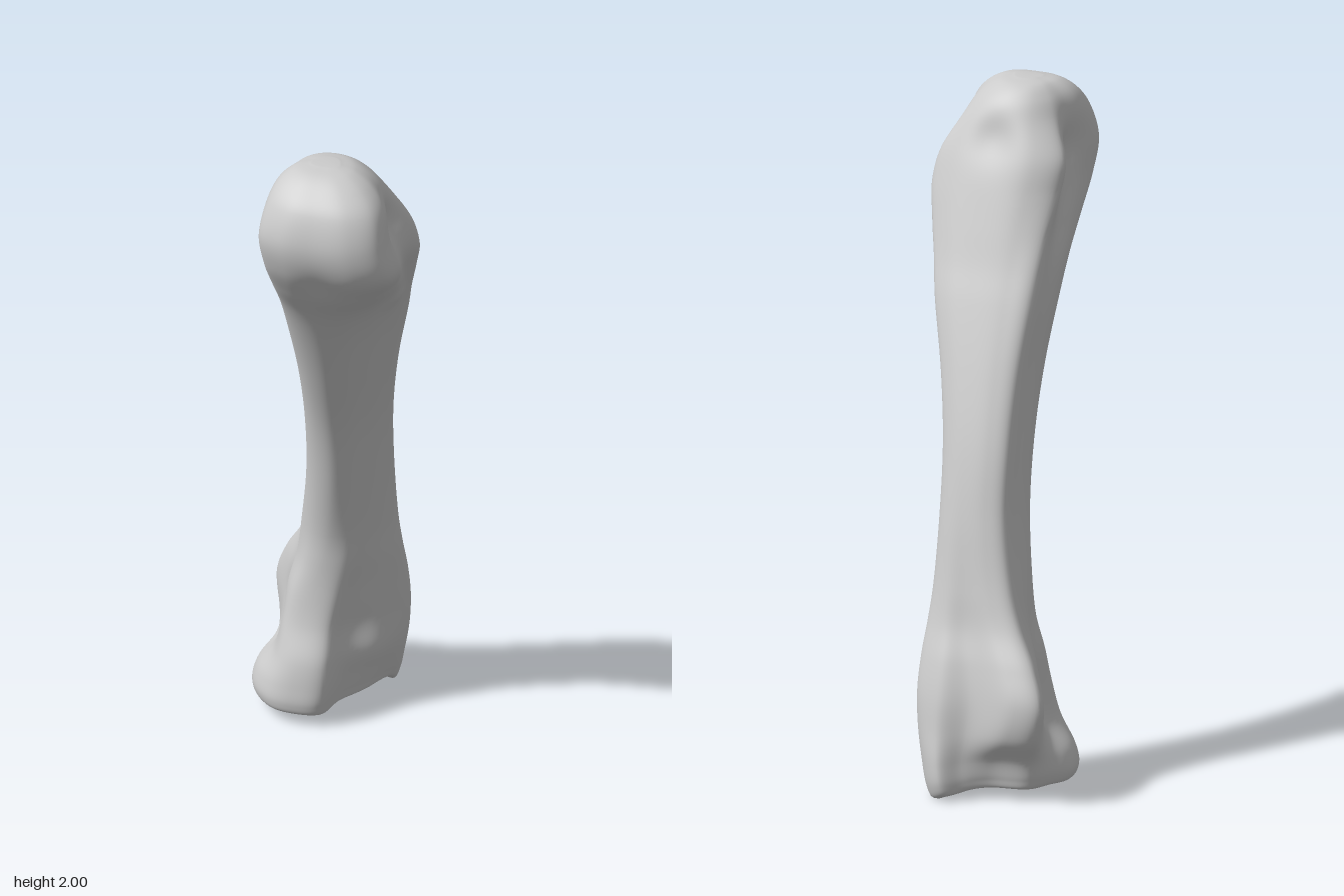
import * as THREE from 'three';

// Outline templates in a -1..1 box as [x, z], running front -> left -> back -> right
const FOOT = [[-.1, 1], [.33, .92], [.48, .42], [.86, .02], [1, -.29], [.92, -.72], [.54, -1],
  [.26, -.8], [-.1, -.62], [-.68, -.5], [-.87, -.16], [-1, .1], [-.87, .56], [-.48, .92]];
const BASE = [[-.13, 1], [.25, .95], [.44, .59], [.82, .18], [1, -.25], [.94, -.73], [.52, -1],
  [.06, -.88], [-.62, -1], [-1, -.84], [-.74, -.22], [-.55, .03], [-.53, .49], [-.39, .88]];
const LOWER = [[-.1, 1], [.28, .82], [.62, .4], [.87, -.05], [.97, -.4], [.8, -.73], [.42, -.96],
  [0, -1], [-.5, -.95], [-.9, -.77], [-1, -.25], [-1, .2], [-.85, .65], [-.52, .92]];
const UPPER = [[-.1, 1], [.28, .82], [.6, .4], [.83, -.1], [.97, -.52], [.98, -.8], [.65, -.97],
  [.1, -1], [-.48, -.94], [-.9, -.78], [-1, -.25], [-1, .2], [-.85, .65], [-.52, .92]];
const HEAD = [[0, 1], [.55, .96], [.93, .72], [1, .3], [.87, -.18], [.98, -.64], [.6, -.92],
  [0, -1], [-.6, -.93], [-1, -.62], [-.83, -.14], [-.92, .3], [-.89, .72], [-.5, .96]];
const CROWN = [[0, 1], [.53, .95], [.9, .7], [1, .3], [.9, -.12], [.75, -.52], [.48, -.86],
  [0, -1], [-.48, -.86], [-.78, -.52], [-.9, -.12], [-1, .3], [-.9, .7], [-.5, .95]];
const TEMPLATES = [FOOT, BASE, LOWER, UPPER, HEAD, CROWN];

// Sections: y, xMin, xMax, zMin, zMax, position along TEMPLATES
const SECTIONS = [
  [.062, -.16, -.05, -.28, -.16, 0],
  [.056, -.24, .03, -.38, -.07, 0],
  [.036, -.295, .065, -.455, -.012, 0],
  [.065, -.31, .08, -.47, 0, 0],
  [.12, -.31, .095, -.467, -.002, .15],
  [.2, -.305, .11, -.45, -.015, .75],
  [.3, -.305, .117, -.43, -.05, 1],
  [.4, -.27, .12, -.4, -.065, 1.2],
  [.5, -.21, .118, -.36, -.07, 1.5],
  [.6, -.17, .113, -.335, -.065, 1.8],
  [.8, -.125, .115, -.29, -.02, 2],
  [1, -.11, .13, -.235, .04, 2.1],
  [1.2, -.103, .165, -.165, .13, 2.5],
  [1.4, -.108, .212, -.085, .235, 3],
  [1.5, -.108, .24, -.04, .3, 3.15],
  [1.6, -.105, .275, 0, .385, 3.6],
  [1.7, -.107, .303, .04, .452, 4],
  [1.8, -.113, .288, .08, .475, 4],
  [1.9, -.088, .265, .118, .45, 4.8],
  [1.955, -.06, .22, .155, .405, 5],
  [1.987, -.02, .165, .195, .36, 5],
  [1.999, .03, .11, .245, .31, 5],
];

// Soft local dents and bumps: centre, radius, push
const SCULPT = [
  [[.03, .04, -.41], .08, [0, -.042, 0]],      // low rear knuckle of the base
  [[.06, .04, -.27], .09, [0, .025, 0]],       // arch between front edge and knuckle
  [[.27, 1.82, .25], .07, [-.025, 0, 0]],      // left ligament pit
  [[-.09, 1.8, .25], .07, [.025, 0, 0]],       // right ligament pit
  [[.1, 1.85, .1], .07, [0, 0, .018]],         // hollow behind the head
  [[.2, 1.5, .09], .035, [.01, 0, 0]],         // small tubercle
  [[.04, .26, -.15], .07, [-.012, 0, -.005]],  // left hollow of the base
  [[.1, 1.66, .43], .06, [0, 0, -.008]],       // crease under the head
];

function sectionPoint([y, x0, x1, z0, z1, shape], i) {
  const k = Math.min(Math.floor(shape), TEMPLATES.length - 2);
  const a = TEMPLATES[k][i], b = TEMPLATES[k + 1][i];
  const u = THREE.MathUtils.lerp(a[0], b[0], shape - k);
  const v = THREE.MathUtils.lerp(a[1], b[1], shape - k);
  return new THREE.Vector3((x0 + x1 + u * (x1 - x0)) / 2, y, (z0 + z1 + v * (z1 - z0)) / 2);
}

function sculpt(p) {
  const out = p.clone();
  for (const [c, r, push] of SCULPT) {
    const d = p.distanceTo(new THREE.Vector3(...c)) / r;
    out.addScaledVector(new THREE.Vector3(...push), Math.exp(-d * d));
  }
  out.y = Math.max(0, out.y);
  return out;
}

// Smooth closed skin through the sections
function loftGeometry(rows, cols) {
  const rails = FOOT.map((_, i) =>
    new THREE.CatmullRomCurve3(SECTIONS.map(s => sectionPoint(s, i)), false, 'centripetal'));
  const pos = [], index = [];
  for (let r = 0; r <= rows; r++) {
    const ring = new THREE.CatmullRomCurve3(rails.map(c => c.getPoint(r / rows)), true, 'centripetal');
    for (let c = 0; c < cols; c++) pos.push(...sculpt(ring.getPoint(c / cols)).toArray());
  }
  for (let r = 0; r < rows; r++) {
    for (let c = 0; c < cols; c++) {
      const n = (c + 1) % cols;
      const a = r * cols + c, b = r * cols + n, d = a + cols, e = b + cols;
      index.push(a, b, e, a, e, d);
    }
  }
  // End caps
  const bottom = pos.length / 3, top = bottom + 1, last = rows * cols;
  pos.push(-.105, .064, -.22, .07, 2, .277);
  for (let c = 0; c < cols; c++) {
    const n = (c + 1) % cols;
    index.push(bottom, n, c, top, last + c, last + n);
  }
  const geo = new THREE.BufferGeometry();
  geo.setAttribute('position', new THREE.Float32BufferAttribute(pos, 3));
  geo.setIndex(index);
  geo.computeVertexNormals();
  return geo;
}

export function createModel() {
  const group = new THREE.Group();
  group.name = 'footBone';
  const bone = new THREE.Mesh(loftGeometry(168, 112), new THREE.MeshStandardMaterial({ color: 0xcccccc }));
  bone.name = 'bone';
  group.add(bone);
  return group;
}
